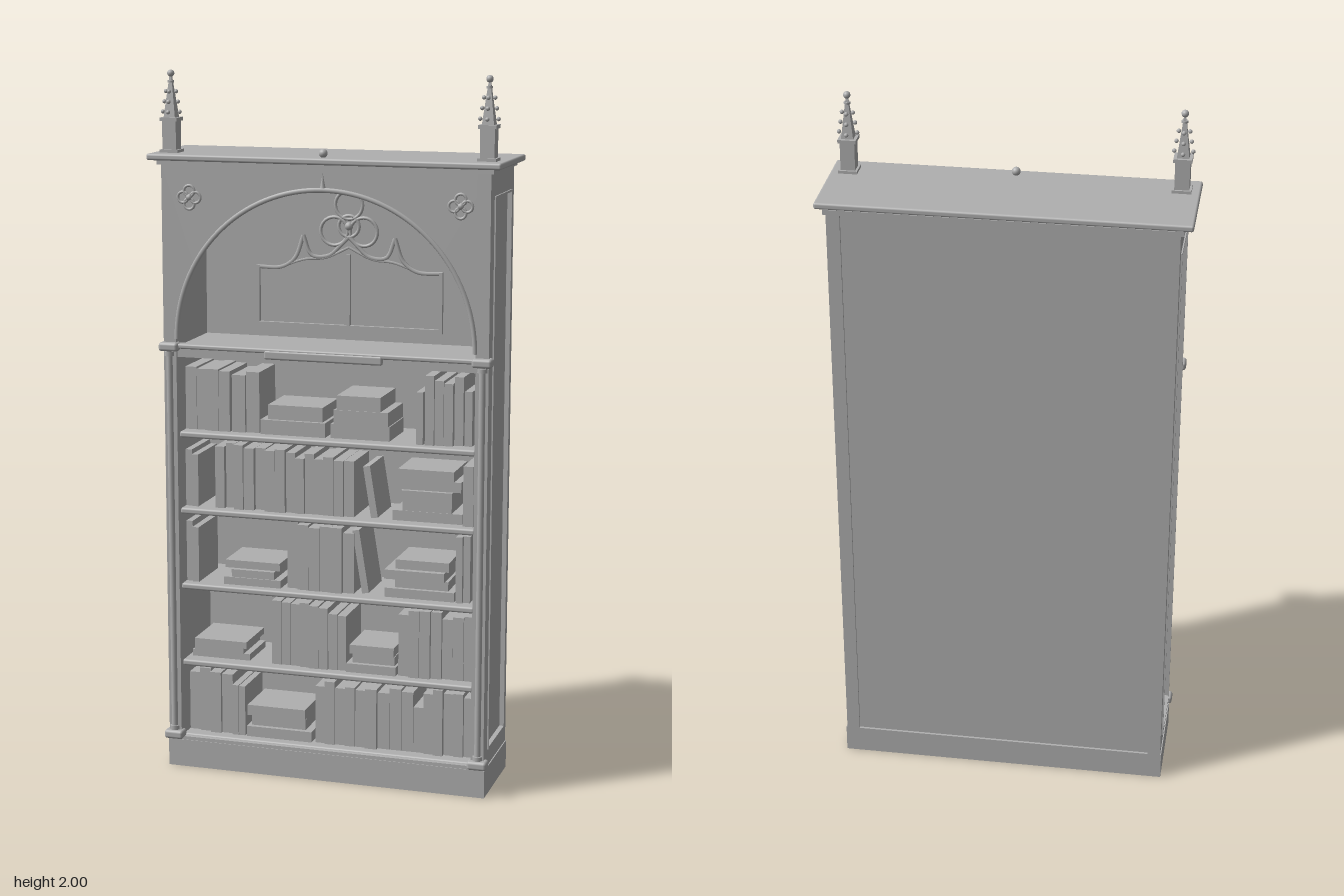
import * as THREE from 'three';
import { RoundedBoxGeometry } from 'three/addons/geometries/RoundedBoxGeometry.js';

export function createModel() {
  const root = new THREE.Group();
  root.name = 'bookcase';
  const grey = new THREE.MeshStandardMaterial({ color: 0xb0b0b0 });
  grey.name = 'plain grey';

  let seed = 7;
  const rand = () => (seed = (seed * 16807) % 2147483647) / 2147483647;

  const group = (name, parent = root) => {
    const g = new THREE.Group();
    g.name = name;
    parent.add(g);
    return g;
  };
  const add = (name, geo, parent = root, x = 0, y = 0, z = 0) => {
    const m = new THREE.Mesh(geo, grey);
    m.name = name;
    m.position.set(x, y, z);
    parent.add(m);
    return m;
  };
  // box from its minimum and maximum corners
  const box = (name, x0, x1, y0, y1, z0, z1, parent = root) =>
    add(name, new THREE.BoxGeometry(x1 - x0, y1 - y0, z1 - z0), parent, (x0 + x1) / 2, (y0 + y1) / 2, (z0 + z1) / 2);
  const roundBox = (name, w, h, d, r, x, y, z, parent = root) =>
    add(name, new RoundedBoxGeometry(w, h, d, 2, r), parent, x, y, z);
  const rod = (name, pts, r, z, parent, n = 20) => {
    const curve = new THREE.CatmullRomCurve3(pts.map(([x, y]) => new THREE.Vector3(x, y, z)));
    return add(name, new THREE.TubeGeometry(curve, n, r, 6), parent);
  };

  // Base, back and cornice
  box('plinth', -0.47, 0.47, 0, 0.08, -0.15, 0.12);
  box('backPanel', -0.44, 0.44, 0.08, 1.75, -0.143, -0.13);
  roundBox('cornice', 1, 0.018, 0.3, 0.006, 0, 1.765, 0);
  box('corniceMoulding', -0.476, 0.476, 1.743, 1.757, -0.15, 0.13);
  box('ceiling', -0.44, 0.44, 1.73, 1.745, -0.14, 0.11);
  add('cresting', new THREE.SphereGeometry(0.012, 16, 12), root, 0, 1.785, 0.115);

  // Panelled side walls with slim corner columns
  for (const s of [-1, 1]) {
    const side = group(s > 0 ? 'leftSide' : 'rightSide');
    const sbox = (name, x0, x1, ...rest) => box(name, Math.min(s * x0, s * x1), Math.max(s * x0, s * x1), ...rest, side);
    sbox('sideWall', 0.43, 0.458, 0.08, 1.75, -0.149, 0.115);
    sbox('rearStile', 0.43, 0.467, 0.08, 1.75, -0.15, -0.118);
    sbox('frontStile', 0.43, 0.467, 0.08, 1.75, 0.078, 0.12);
    sbox('bottomRail', 0.45, 0.467, 0.08, 0.13, -0.118, 0.078);
    sbox('topRail', 0.45, 0.467, 1.68, 1.75, -0.118, 0.078);
    // raised bead around the panel
    for (const z of [-0.118, 0.072]) sbox('panelBead', 0.455, 0.471, 0.13, 1.68, z, z + 0.006);
    for (const y of [0.13, 1.674]) sbox('panelBead', 0.455, 0.471, y, y + 0.006, -0.118, 0.078);
    const col = new THREE.CylinderGeometry(0.009, 0.009, 1.13, 14);
    add('cornerColumn', col, side, s * 0.45, 0.665, 0.121);
    for (const y of [0.097, 1.235]) {
      roundBox('columnBlock', 0.056, 0.025, 0.04, 0.008, s * 0.45, y, 0.118, side);
      add('columnCollar', new THREE.CylinderGeometry(0.014, 0.014, 0.012, 14), side, s * 0.45, y + (y < 1 ? 0.02 : -0.02), 0.121);
    }
  }

  // Arched front of the upper niche
  const arch = new THREE.Shape();
  arch.moveTo(-0.467, 1.235);
  arch.lineTo(-0.43, 1.235);
  arch.lineTo(-0.43, 1.258);
  arch.absarc(0, 1.258, 0.43, Math.PI, 0, true);
  arch.lineTo(0.43, 1.235);
  arch.lineTo(0.467, 1.235);
  arch.lineTo(0.467, 1.745);
  arch.lineTo(-0.467, 1.745);
  arch.closePath();
  add('archedFront', new THREE.ExtrudeGeometry(arch, { depth: 0.022, bevelEnabled: false, curveSegments: 40 }), root, 0, 0, 0.098);
  add('archMoulding', new THREE.TorusGeometry(0.428, 0.007, 8, 64, Math.PI), root, 0, 1.258, 0.119);
  add('keystoneBud', new THREE.ConeGeometry(0.008, 0.04, 8), root, 0, 1.712, 0.12);

  // Four-lobed rosettes in the spandrels
  for (const s of [-1, 1]) {
    const rosette = group('spandrelRosette');
    rosette.position.set(s * 0.385, 1.655, 0.122);
    for (let i = 0; i < 4; i++) {
      const a = (i * Math.PI) / 2;
      add('lobe', new THREE.TorusGeometry(0.015, 0.004, 6, 18), rosette, 0.018 * Math.cos(a), 0.018 * Math.sin(a), 0);
    }
    add('centre', new THREE.SphereGeometry(0.009, 12, 8), rosette);
  }

  // Tracery on the niche back
  const tracery = group('tracery');
  const tz = -0.126;
  box('sill', -0.275, 0.275, 1.266, 1.278, -0.132, -0.118, tracery);
  box('mullion', -0.005, 0.005, 1.27, 1.48, -0.132, -0.118, tracery);
  for (const s of [-1, 1]) {
    box('jamb', s * 0.27 - 0.005, s * 0.27 + 0.005, 1.27, 1.44, -0.132, -0.118, tracery);
    rod('shoulder', [[s * 0.272, 1.436], [s * 0.2, 1.438], [s * 0.16, 1.465], [s * 0.135, 1.53]], 0.006, tz, tracery);
    rod('ogee', [[s * 0.135, 1.53], [s * 0.11, 1.475], [s * 0.06, 1.475], [s * 0.025, 1.505], [0, 1.53]], 0.006, tz, tracery);
    rod('innerArc', [[s * 0.2, 1.438], [s * 0.13, 1.462], [s * 0.07, 1.468], [0, 1.5]], 0.004, tz, tracery);
  }
  for (let i = 0; i < 3; i++) {
    const a = Math.PI / 2 + (i * 2 * Math.PI) / 3;
    add('trefoilLobe', new THREE.TorusGeometry(0.04, 0.005, 6, 28), tracery, 0.05 * Math.cos(a), 1.57 + 0.05 * Math.sin(a), tz);
  }
  add('trefoilRing', new THREE.TorusGeometry(0.03, 0.005, 6, 24), tracery, 0, 1.56, tz);
  add('trefoilBoss', new THREE.SphereGeometry(0.012, 12, 8), tracery, 0, 1.56, tz);

  // Shelves; the top one closes the book section
  const floors = [0.095, 0.318, 0.546, 0.768, 0.99];
  floors.forEach((y) => roundBox('shelf', 0.86, 0.018, 0.236, 0.006, 0, y - 0.009, -0.013));
  box('nicheFloor', -0.43, 0.43, 1.205, 1.235, -0.13, 0.112);
  roundBox('nicheSill', 0.88, 0.014, 0.03, 0.005, 0, 1.237, 0.11);
  box('bottomRail', -0.43, 0.43, 0.078, 0.09, 0.09, 0.118);
  roundBox('frontPlaque', 0.34, 0.026, 0.016, 0.006, 0, 1.226, 0.119);

  // Books: kind, left, right, count, height (u upright, s stacked, t tilted)
  const rows = [
    [['u', -0.425, -0.29, 4, 0.195], ['u', -0.29, -0.25, 2, 0.16], ['s', -0.245, -0.05, 3, 0.095], ['u', -0.04, 0.11, 5, 0.19],
      ['u', 0.11, 0.25, 4, 0.185], ['u', 0.25, 0.28, 1, 0.15], ['u', 0.28, 0.425, 5, 0.195]],
    [['s', -0.415, -0.24, 3, 0.06], ['u', -0.17, 0, 6, 0.195], ['u', 0, 0.053, 2, 0.175], ['s', 0.055, 0.2, 3, 0.08], ['u', 0.205, 0.425, 7, 0.198]],
    [['u', -0.425, -0.385, 2, 0.18], ['s', -0.31, -0.14, 3, 0.07], ['u', -0.125, 0.075, 6, 0.195], ['t', 0.082, 0.107, 1, 0.185],
      ['s', 0.165, 0.365, 4, 0.11], ['u', 0.37, 0.41, 2, 0.195]],
    [['u', -0.425, -0.385, 2, 0.165], ['u', -0.335, -0.25, 3, 0.19], ['u', -0.25, -0.125, 4, 0.2], ['u', -0.125, -0.015, 4, 0.178],
      ['u', -0.015, 0.075, 3, 0.175], ['t', 0.112, 0.137, 1, 0.15], ['s', 0.185, 0.385, 5, 0.15], ['u', 0.39, 0.42, 1, 0.18]],
    [['u', -0.425, -0.29, 4, 0.19], ['u', -0.285, -0.205, 2, 0.18], ['s', -0.2, -0.01, 2, 0.085], ['s', 0.005, 0.175, 3, 0.125],
      ['u', 0.255, 0.275, 1, 0.16], ['u', 0.28, 0.385, 4, 0.195], ['u', 0.388, 0.41, 1, 0.155]],
  ];
  rows.forEach((row, i) => {
    const books = group('booksOnShelf' + (i + 1));
    const y = floors[i];
    for (const [kind, x0, x1, n, h] of row) {
      for (let k = 0; k < n; k++) {
        const front = 0.06 + 0.02 * rand();
        if (kind === 's') {
          const w = x1 - x0, cutL = k ? 0.15 * w * rand() : 0, cutR = k ? 0.15 * w * rand() : 0;
          box('stackedBook', x0 + cutL, x1 - cutR, y + (h * k) / n, y + (h * (k + 1)) / n - 0.001, -0.08, front, books);
        } else if (kind === 'u') {
          const t = (x1 - x0) / n;
          box('uprightBook', x0 + t * k, x0 + t * (k + 1) - 0.001, y, y + h * (1 - 0.12 * rand()), -0.08, front, books);
        } else {
          const m = box('tiltedBook', x0, x1 - 0.005, y + 0.002, y + h, -0.07, front, books);
          m.rotation.z = 0.16;
        }
      }
    }
  });

  // Corner pinnacles: square shaft, crocketed spire, ball on top
  for (const s of [-1, 1]) {
    const p = group(s > 0 ? 'leftPinnacle' : 'rightPinnacle');
    p.position.set(s * 0.45, 1.77, 0.08);
    box('shaft', -0.02, 0.02, 0, 0.095, -0.02, 0.02, p);
    box('shaftFoot', -0.026, 0.026, 0, 0.012, -0.026, 0.026, p);
    box('shaftCap', -0.025, 0.025, 0.09, 0.1, -0.025, 0.025, p);
    const spire = add('spire', new THREE.CylinderGeometry(0.004, 0.024, 0.115, 4).toNonIndexed(), p, 0, 0.155, 0);
    spire.geometry.computeVertexNormals();
    spire.rotation.y = Math.PI / 4;
    for (let tier = 0; tier < 3; tier++) {
      for (let i = 0; i < 4; i++) {
        const a = (i * Math.PI) / 2, r = 0.025 - tier * 0.005;
        add('crocket', new THREE.SphereGeometry(0.006, 8, 6), p, r * Math.cos(a), 0.115 + tier * 0.028, r * Math.sin(a));
      }
    }
    add('collar', new THREE.CylinderGeometry(0.009, 0.009, 0.006, 12), p, 0, 0.198, 0);
    add('ball', new THREE.SphereGeometry(0.01, 14, 10), p, 0, 0.22, 0);
  }
  return root;
}
